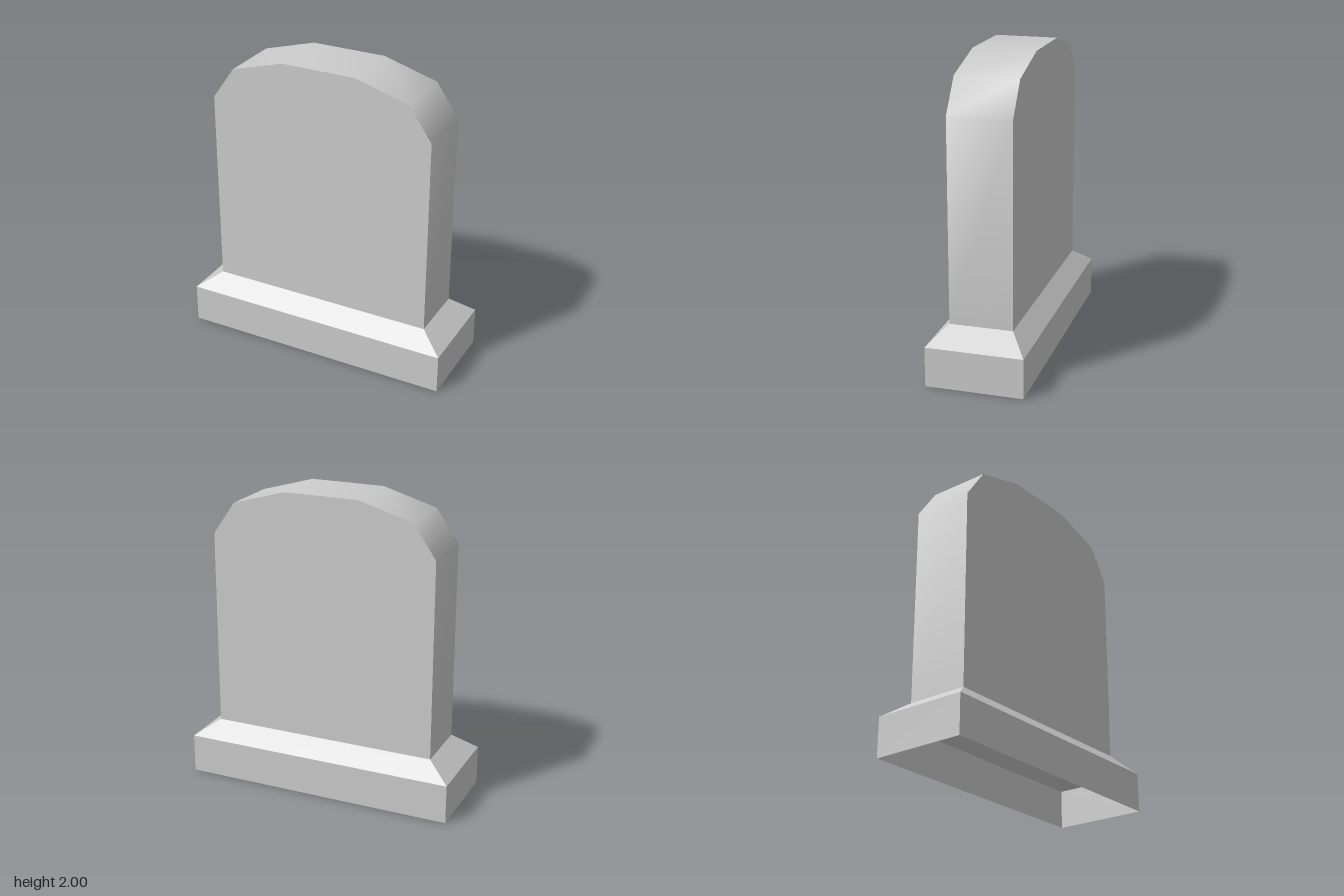
import * as THREE from 'three';
import { toCreasedNormals } from 'three/addons/utils/BufferGeometryUtils.js';

// Joins neighbouring rows of points with quads; closed rows wrap round
function loft(rows, closed) {
  const pos = [];
  const n = rows[0].length;
  for (let r = 0; r < rows.length - 1; r++) {
    for (let i = 0; i < (closed ? n : n - 1); i++) {
      const j = (i + 1) % n;
      const [a, b, c, d] = [rows[r][i], rows[r][j], rows[r + 1][j], rows[r + 1][i]];
      pos.push(...a, ...b, ...c, ...a, ...c, ...d);
    }
  }
  const geometry = new THREE.BufferGeometry();
  geometry.setAttribute('position', new THREE.Float32BufferAttribute(pos, 3));
  return toCreasedNormals(geometry, THREE.MathUtils.degToRad(42));
}

export function createModel() {
  const group = new THREE.Group();
  const stone = new THREE.MeshStandardMaterial({ color: 0xcccccc, side: THREE.DoubleSide });
  stone.name = 'grey stone';

  const add = (name, geometry) => {
    const mesh = new THREE.Mesh(geometry, stone);
    mesh.name = name;
    group.add(mesh);
    return mesh;
  };

  // Slab outline, right foot over the arched top to the left foot
  const half = [[0.76, 0.367], [0.76, 1.68], [0.608, 1.897], [0.249, 2]];
  const outline = [...half, ...half.map(([x, y]) => [-x, y]).reverse()];
  const depth = 0.205;

  // Slab edge, smooth across the arch and open underneath
  const row = (z) => outline.map(([x, y]) => [x, y, z]);
  add('slabEdge', loft([row(depth), row(-depth)], false).scale(1, 1, 1));

  // Flat front and back of the slab
  const face = new THREE.ShapeGeometry(new THREE.Shape(outline.map(([x, y]) => new THREE.Vector2(x, y))));
  add('slabFront', face).position.z = depth;
  const back = add('slabBack', face);
  back.position.z = -depth;
  back.rotation.y = Math.PI;

  // Hollow plinth with a sloping shoulder, open at the bottom
  const ring = (x, y, z) => [[-x, y, z], [x, y, z], [x, y, -z], [-x, y, -z]];
  add('plinth', loft([
    ring(0.913, 0, 0.315),
    ring(0.913, 0.259, 0.315),
    ring(0.76, 0.367, 0.205),
  ], true));

  return group;
}
